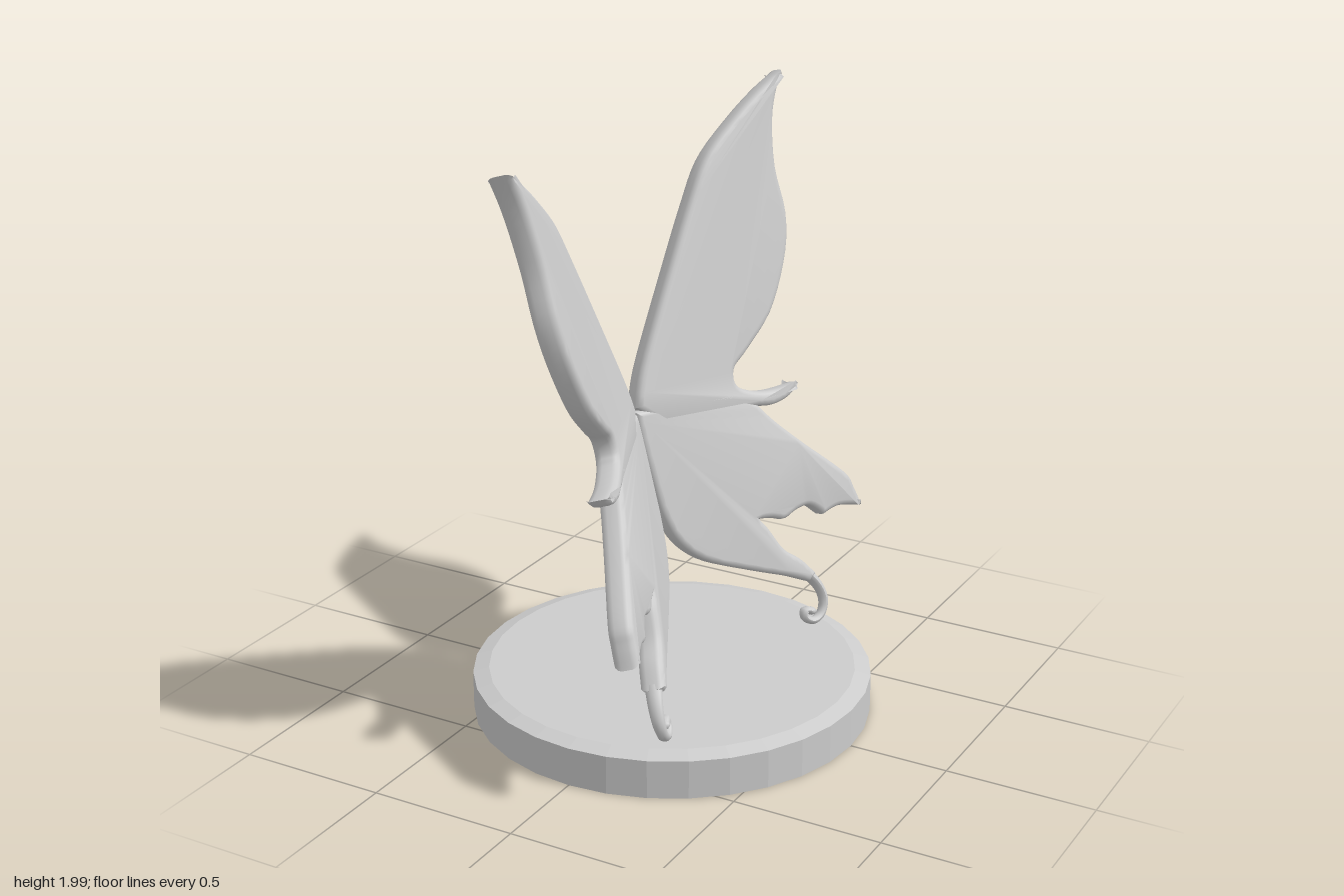
import * as THREE from 'three';
import { toCreasedNormals } from 'three/addons/utils/BufferGeometryUtils.js';

const THICK = 0.08, BEVEL = 0.024;

// Wing outlines as (distance outward, height); each run is a smooth curve, corners between runs
const FOREWING = [
  [[0.03, 1.05], [0.08, 1.156], [0.245, 1.43], [0.36, 1.615], [0.455, 1.75], [0.59, 1.86], [0.71, 1.94], [0.805, 1.99]],
  [[0.805, 1.99], [0.74, 1.86], [0.705, 1.69], [0.708, 1.53], [0.67, 1.39], [0.575, 1.225], [0.456, 1.115], [0.395, 1.065],
    [0.39, 1.01], [0.44, 0.98], [0.51, 0.967], [0.62, 0.972]],
  [[0.62, 0.972], [0.575, 0.935], [0.51, 0.918], [0.45, 0.925]],
  [[0.45, 0.925], [0.1, 0.94]],
  [[0.1, 0.94], [0.02, 1.01]],
  [[0.02, 1.01], [0.03, 1.05]],
];
const HINDWING = [
  [[0.01, 1.0], [0.008, 0.9], [0.015, 0.76], [0.025, 0.65], [0.06, 0.55], [0.14, 0.47], [0.3, 0.395], [0.42, 0.345], [0.5, 0.305]],
  [[0.5, 0.305], [0.53, 0.33]],
  [[0.53, 0.33], [0.485, 0.39], [0.43, 0.44], [0.39, 0.52], [0.366, 0.557]],
  [[0.366, 0.557], [0.41, 0.55], [0.456, 0.536], [0.51, 0.555], [0.56, 0.557], [0.605, 0.515]],
  [[0.605, 0.515], [0.67, 0.53], [0.76, 0.512]],
  [[0.76, 0.512], [0.745, 0.58], [0.72, 0.64], [0.59, 0.77], [0.5, 0.865], [0.45, 0.93]],
  [[0.45, 0.93], [0.36, 1.0]],
  [[0.36, 1.0], [0.01, 1.0]],
];
const TAIL = [[0.42, 0.39], [0.5, 0.338], [0.542, 0.28], [0.552, 0.225], [0.53, 0.18], [0.495, 0.166],
  [0.468, 0.185], [0.475, 0.208], [0.497, 0.2]];

// Slab with rounded rims cut from an outline
function slab(runs) {
  const shape = new THREE.Shape();
  shape.moveTo(...runs[0][0]);
  for (const run of runs) {
    const rest = run.slice(1).map(([u, v]) => new THREE.Vector2(u, v));
    if (rest.length === 1) shape.lineTo(rest[0].x, rest[0].y);
    else shape.splineThru(rest);
  }
  const geo = new THREE.ExtrudeGeometry(shape, {
    depth: THICK - 2 * BEVEL, bevelEnabled: true, bevelThickness: BEVEL, bevelSize: BEVEL * 0.8,
    bevelOffset: -BEVEL * 0.8, bevelSegments: 3, curveSegments: 4,
  });
  geo.translate(0, 0, -(THICK - 2 * BEVEL) / 2);
  return toCreasedNormals(geo, 0.9);
}

// Curled tail: a tube that thins toward its end and swells in the thickness direction
function curledTail() {
  const path = new THREE.CatmullRomCurve3(TAIL.map(([u, v]) => new THREE.Vector3(u, v, 0)));
  const rings = 48, sides = 10;
  const geo = new THREE.TubeGeometry(path, rings, 0.024, sides, false);
  const pos = geo.attributes.position;
  const p = new THREE.Vector3();
  for (let i = 0; i <= rings; i++) {
    const centre = path.getPointAt(i / rings);
    const k = 1 - 0.45 * Math.min(1, (i / rings) * 1.6);
    for (let j = 0; j <= sides; j++) {
      const n = i * (sides + 1) + j;
      p.fromBufferAttribute(pos, n).sub(centre).multiplyScalar(k);
      pos.setXYZ(n, centre.x + p.x, centre.y + p.y, p.z * 1.45);
    }
  }
  geo.computeVertexNormals();
  return geo;
}

// Rounded end of the curl
function curlEnd() {
  const [u, v] = TAIL[TAIL.length - 1];
  return new THREE.SphereGeometry(0.0145, 12, 8).scale(1, 1, 1.4).translate(u, v, 0);
}

export function createModel() {
  const model = new THREE.Group();
  model.name = 'wingPairOnStand';
  const grey = new THREE.MeshStandardMaterial({ color: 0xcccccc });
  grey.name = 'lightGrey';

  const add = (parent, name, geo) => {
    const mesh = new THREE.Mesh(geo, grey);
    mesh.name = name;
    parent.add(mesh);
  };

  // Stand: faceted disc with a bevelled top rim
  const profile = [[0, 0], [0.665, 0], [0.665, 0.13], [0.612, 0.146], [0, 0.146]]
    .map(([r, y]) => new THREE.Vector2(r, y));
  const stand = new THREE.LatheGeometry(profile, 32).toNonIndexed();
  stand.computeVertexNormals();
  add(model, 'stand', stand);

  // Two wings leaning back and spreading in a V; the rear one is turned a little more
  for (const side of [1, -1]) {
    const wing = new THREE.Group();
    wing.name = side > 0 ? 'frontWing' : 'rearWing';
    const out = new THREE.Vector3(0.409, 0, side);
    const up = new THREE.Vector3(-0.27, 1, 0);
    const across = new THREE.Vector3().crossVectors(out, up).normalize();
    const place = new THREE.Matrix4().makeBasis(out, up, across).setPosition(0.1, 0, 0);
    const parts = { forewing: slab(FOREWING), hindwing: slab(HINDWING), curledTail: curledTail(), curlEnd: curlEnd() };
    for (const [name, geo] of Object.entries(parts)) {
      geo.applyMatrix4(place);
      if (side < 0) geo.translate(0.16, 0, 0).rotateY(-0.075).translate(-0.16, 0, -0.006);
      add(wing, name, geo);
    }
    model.add(wing);
  }
  return model;
}
